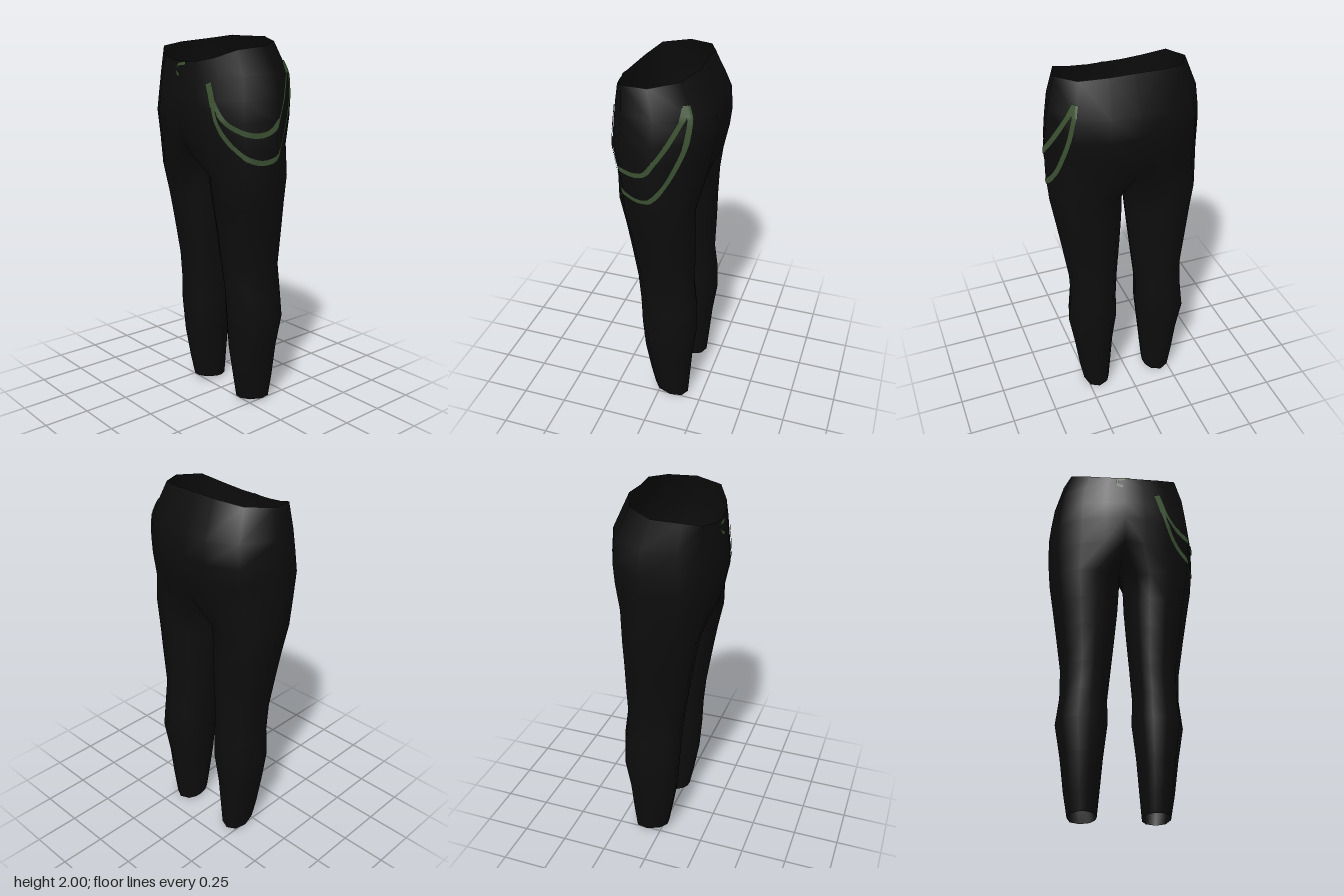
import * as THREE from 'three';
import { mergeVertices } from 'three/addons/utils/BufferGeometryUtils.js';

// Half outline of the hips, front centre -> side -> back centre (unit x, z)
const HIP = [[0, 1], [0.265, 0.95], [0.58, 0.82], [0.88, 0.54], [1, -0.12], [0.77, -0.74], [0.375, -1], [0, -0.97]];
// Full outline of a leg, starting at the front inside (-1 inner, +1 outer)
const LEG = [[-0.65, 0.75], [-0.3, 0.97], [0.2, 1], [0.75, 0.65], [1, -0.1], [0.75, -0.75], [0.1, -1], [-0.6, -0.8],
  [-0.92, -0.4], [-1, 0], [-0.9, 0.4]];
const RIM_Y = [1.88, 1.885, 1.905, 1.945, 1.962, 1.98, 2, 1.998];

// y, half width, front z, back z
const HIP_RINGS = [[1.95, 0.342, 0.25, -0.185], [1.82, 0.39, 0.262, -0.268], [1.7, 0.407, 0.273, -0.276],
  [1.6, 0.416, 0.28, -0.264], [1.46, 0.415, 0.25, -0.235]];
// y, inner x, outer x, front z, back z
const LEG_RINGS = [[1.3, 0.01, 0.402, 0.203, -0.203], [1.15, 0.018, 0.378, 0.174, -0.2], [1, 0.032, 0.355, 0.15, -0.2],
  [0.8, 0.052, 0.326, 0.12, -0.196], [0.65, 0.067, 0.325, 0.105, -0.215], [0.5, 0.065, 0.344, 0.096, -0.217],
  [0.32, 0.087, 0.313, 0.084, -0.193], [0.14, 0.103, 0.29, 0.053, -0.178], [0.012, 0.115, 0.267, 0.03, -0.166]];

const mid = (a, b) => (a + b) / 2;
const hipRings = HIP_RINGS.map(([y, w, f, b], k) => HIP.map(([nx, nz], u) =>
  new THREE.Vector3(nx * w, k === 0 ? RIM_Y[u] : y, mid(f, b) + nz * (f - b) / 2)));
const legRings = LEG_RINGS.map(([y, xi, xo, f, b], k) => LEG.map(([nx, nz]) =>
  new THREE.Vector3(mid(xi, xo) + nx * (xo - xi) / 2,
    k === LEG_RINGS.length - 1 ? y + 0.012 * nz : y,
    mid(f, b) + nz * (f - b) / 2)));
// The lowest hip ring is closed under the crotch to start each leg
const crotch = [[1.42, -0.12], [1.4, 0], [1.42, 0.12]].map(([y, z]) => new THREE.Vector3(0, y, z));
const legLoops = [[...hipRings[hipRings.length - 1], ...crotch], ...legRings];
const columns = [...hipRings, ...legRings];

function trousersGeometry() {
  const pos = [];
  const tri = (a, b, c, s) => (s > 0 ? [a, b, c] : [a, c, b]).forEach((p) => pos.push(s * p.x, p.y, p.z));
  const skin = (rings, closed, s) => {
    for (let k = 0; k + 1 < rings.length; k++) {
      const n = rings[k].length;
      for (let u = 0; u < (closed ? n : n - 1); u++) {
        const v = (u + 1) % n;
        tri(rings[k][u], rings[k + 1][u], rings[k + 1][v], s);
        tri(rings[k][u], rings[k + 1][v], rings[k][v], s);
      }
    }
  };
  for (const s of [1, -1]) {
    skin(hipRings, false, s);
    skin(legLoops, true, s);
  }
  const g = new THREE.BufferGeometry();
  g.setAttribute('position', new THREE.Float32BufferAttribute(pos, 3));
  const merged = mergeVertices(g, 1e-4);
  merged.computeVertexNormals();
  return merged;
}

// Point just above the cloth: u runs round the hips (negative on the right side), y is height
function onCloth(u, y, lift) {
  const a = Math.min(Math.abs(u), 6.999), i = Math.floor(a);
  const col = columns.map((r) => r[i].clone().lerp(r[i + 1], a - i));
  let k = 0;
  while (k < col.length - 2 && col[k + 1].y > y) k++;
  const t = THREE.MathUtils.clamp((col[k].y - y) / (col[k].y - col[k + 1].y), 0, 1);
  const p = col[k].clone().lerp(col[k + 1], t);
  const out = new THREE.Vector3(p.x / 0.17, 0, p.z / 0.08).normalize();
  p.addScaledVector(out, lift);
  if (u < 0) p.x *= -1;
  return p;
}

// Thin band laid on the cloth along a path of (u, y) points
function band(path, width, lift = 0.006) {
  const S = 0.17, steps = 40, across = 4;
  const curve = new THREE.CatmullRomCurve3(path.map(([u, y]) => new THREE.Vector3(u * S, y, 0)));
  const pos = [], idx = [];
  for (let i = 0; i <= steps; i++) {
    const p = curve.getPointAt(i / steps), t = curve.getTangentAt(i / steps);
    for (let j = 0; j <= across; j++) {
      const o = (j / across - 0.5) * width;
      const q = onCloth((p.x - t.y * o) / S, p.y + t.x * o, lift);
      pos.push(q.x, q.y, q.z);
      if (i < steps && j < across) {
        const a = i * (across + 1) + j, b = a + across + 1;
        idx.push(a, b, b + 1, a, b + 1, a + 1);
      }
    }
  }
  const g = new THREE.BufferGeometry();
  g.setAttribute('position', new THREE.Float32BufferAttribute(pos, 3));
  g.setIndex(idx);
  g.computeVertexNormals();
  return g;
}

export function createModel() {
  const cloth = new THREE.MeshStandardMaterial({ color: 0x0d0d0d, side: THREE.DoubleSide });
  cloth.name = 'black cloth';
  const green = new THREE.MeshStandardMaterial({ color: 0x3c5233, side: THREE.DoubleSide });
  green.name = 'dull green';

  const model = new THREE.Group();
  model.name = 'trousers';
  const add = (name, geometry, material) => {
    const m = new THREE.Mesh(geometry, material);
    m.name = name;
    model.add(m);
  };

  add('trouserBody', trousersGeometry(), cloth);

  // Two chains hanging on the left hip
  add('upperChain', band([[1.72, 1.77], [1.95, 1.67], [2.35, 1.59], [2.95, 1.545], [3.43, 1.53], [3.8, 1.55],
    [4.1, 1.62], [4.45, 1.73], [4.88, 1.87]], 0.027), green);
  add('lowerChain', band([[1.68, 1.77], [1.85, 1.65], [2.1, 1.55], [2.5, 1.47], [3.1, 1.41], [3.55, 1.39], [4, 1.41],
    [4.38, 1.48], [4.7, 1.61], [4.87, 1.74], [4.97, 1.87]], 0.027), green);
  add('frontChainTab', band([[1.62, 1.785], [1.72, 1.74], [1.85, 1.67]], 0.05, 0.007), green);
  add('backChainTab', band([[4.95, 1.885], [4.94, 1.86], [4.92, 1.83]], 0.042, 0.007), green);

  // Small hook at the front of the waist
  add('waistHook', band([[0.25, 1.872], [-0.1, 1.868], [-0.4, 1.86], [-0.45, 1.84], [-0.35, 1.822], [-0.12, 1.812]],
    0.018), green);
  return model;
}
